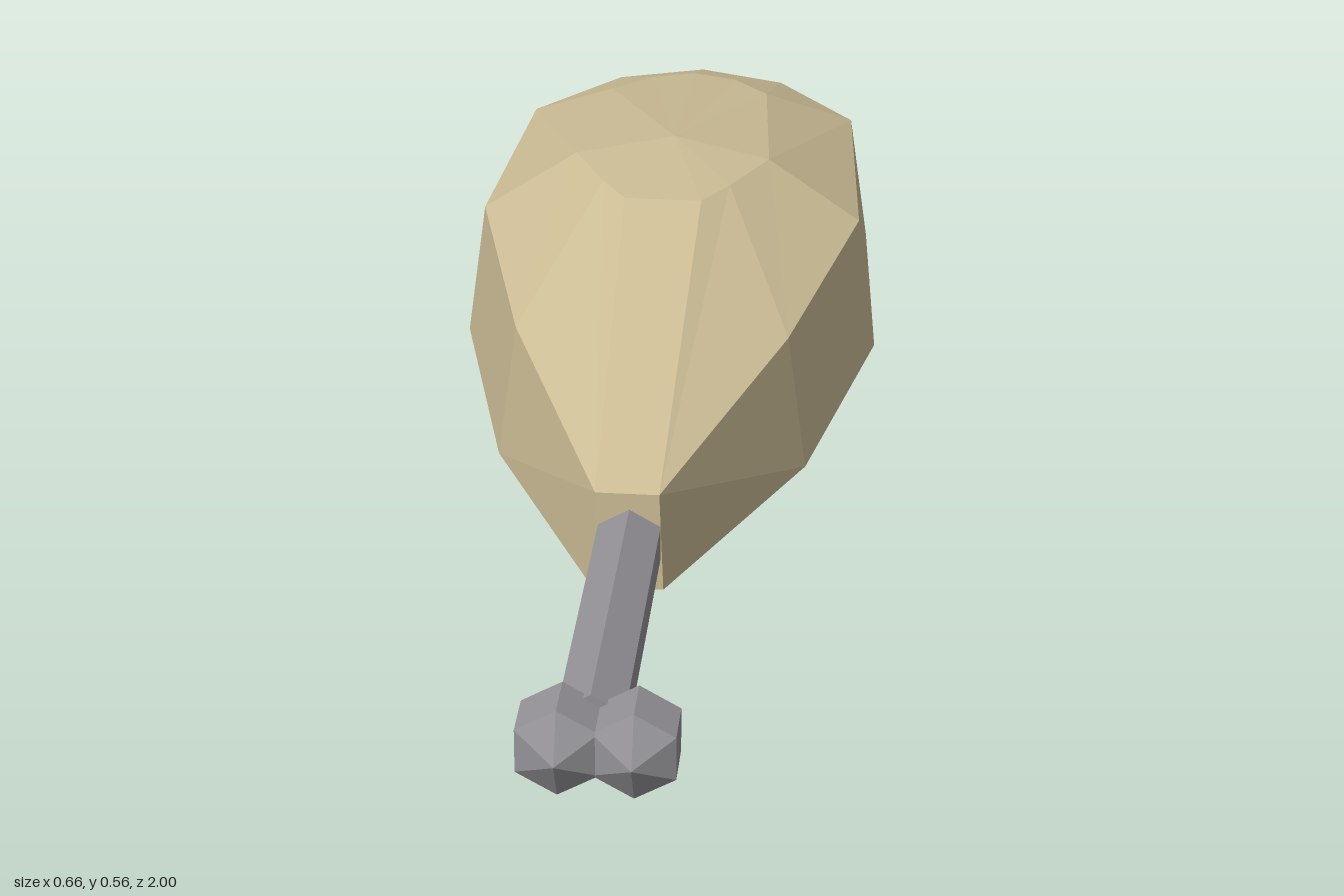
import * as THREE from 'three';

const meat = new THREE.MeshStandardMaterial({ color: 0xcbbc95 });
meat.name = 'tan meat';
const bone = new THREE.MeshStandardMaterial({ color: 0x949297 });
bone.name = 'grey bone';

// Faceted normals
function faceted(geometry) {
  const g = geometry.index ? geometry.toNonIndexed() : geometry;
  g.computeVertexNormals();
  return g;
}

function add(group, name, geometry, material) {
  const mesh = new THREE.Mesh(faceted(geometry), material);
  mesh.name = name;
  group.add(mesh);
  return mesh;
}

// Half outlines from the narrow front (+z) round to the back centre, lowest first
const HALF_RINGS = [
  [[0.08, 0.028, -0.1], [0.17, 0.025, -0.2], [0.24, 0.09, -0.34], [0.21, 0.087, -0.74], [0.11, 0.082, -0.84], [0, 0.08, -0.88]],
  [[0.053, 0.165, 0.38], [0.24, 0.18, 0], [0.332, 0.23, -0.34], [0.3, 0.23, -0.78], [0.155, 0.23, -0.94], [0, 0.23, -1]],
  [[0.047, 0.322, 0.38], [0.21, 0.4, 0], [0.302, 0.45, -0.34], [0.27, 0.45, -0.76], [0.14, 0.45, -0.92], [0, 0.45, -0.97]],
  [[0.06, 0.54, -0.19], [0.1, 0.542, -0.25], [0.155, 0.542, -0.36], [0.13, 0.525, -0.68], [0.07, 0.513, -0.77], [0, 0.51, -0.8]],
];

function bodyGeometry() {
  const centre = new THREE.Vector3(0, 0.27, -0.35);
  const rings = HALF_RINGS.map((half) => {
    const right = half.map((p) => new THREE.Vector3(...p));
    const left = right.slice(0, -1).reverse().map((p) => new THREE.Vector3(-p.x, p.y, p.z));
    return [...right, ...left];
  });
  const points = [];
  const tri = (a, b, c) => points.push(a, b, c);
  const reach = (a, b) => a.clone().lerp(b, 0.5).distanceTo(centre);
  const n = rings[0].length;

  // Bands between outlines, each quad split along its outer diagonal
  for (let r = 0; r < rings.length - 1; r++) {
    for (let i = 0; i < n; i++) {
      const j = (i + 1) % n;
      const a = rings[r][i], b = rings[r][j], c = rings[r + 1][j], d = rings[r + 1][i];
      if (reach(a, c) > reach(b, d)) {
        tri(a, b, c);
        tri(a, c, d);
      } else {
        tri(a, b, d);
        tri(b, c, d);
      }
    }
  }

  // Crown and underside
  const top = new THREE.Vector3(0, 0.56, -0.4);
  const bottom = new THREE.Vector3(0, 0, -0.4);
  for (let i = 0; i < n; i++) {
    const j = (i + 1) % n;
    tri(rings[3][i], rings[3][j], top);
    tri(rings[0][j], rings[0][i], bottom);
  }
  return new THREE.BufferGeometry().setFromPoints(points);
}

export function createModel() {
  const model = new THREE.Group();
  model.name = 'drumstick';

  add(model, 'meatBody', bodyGeometry(), meat);

  // Six-sided shaft with an edge on top
  const shaft = new THREE.CylinderGeometry(0.053, 0.053, 0.6, 6).rotateX(Math.PI / 2);
  add(model, 'boneShaft', shaft, bone).position.set(0.003, 0.243, 0.6);

  // Pair of faceted knobs at the bone end
  for (const [name, x] of [['rightKnob', -0.036], ['leftKnob', 0.067]]) {
    const knob = new THREE.SphereGeometry(0.075, 6, 3).rotateY(Math.PI / 6).rotateX(Math.PI / 2);
    add(model, name, knob, bone).position.set(x, 0.242, 0.925);
  }
  return model;
}
